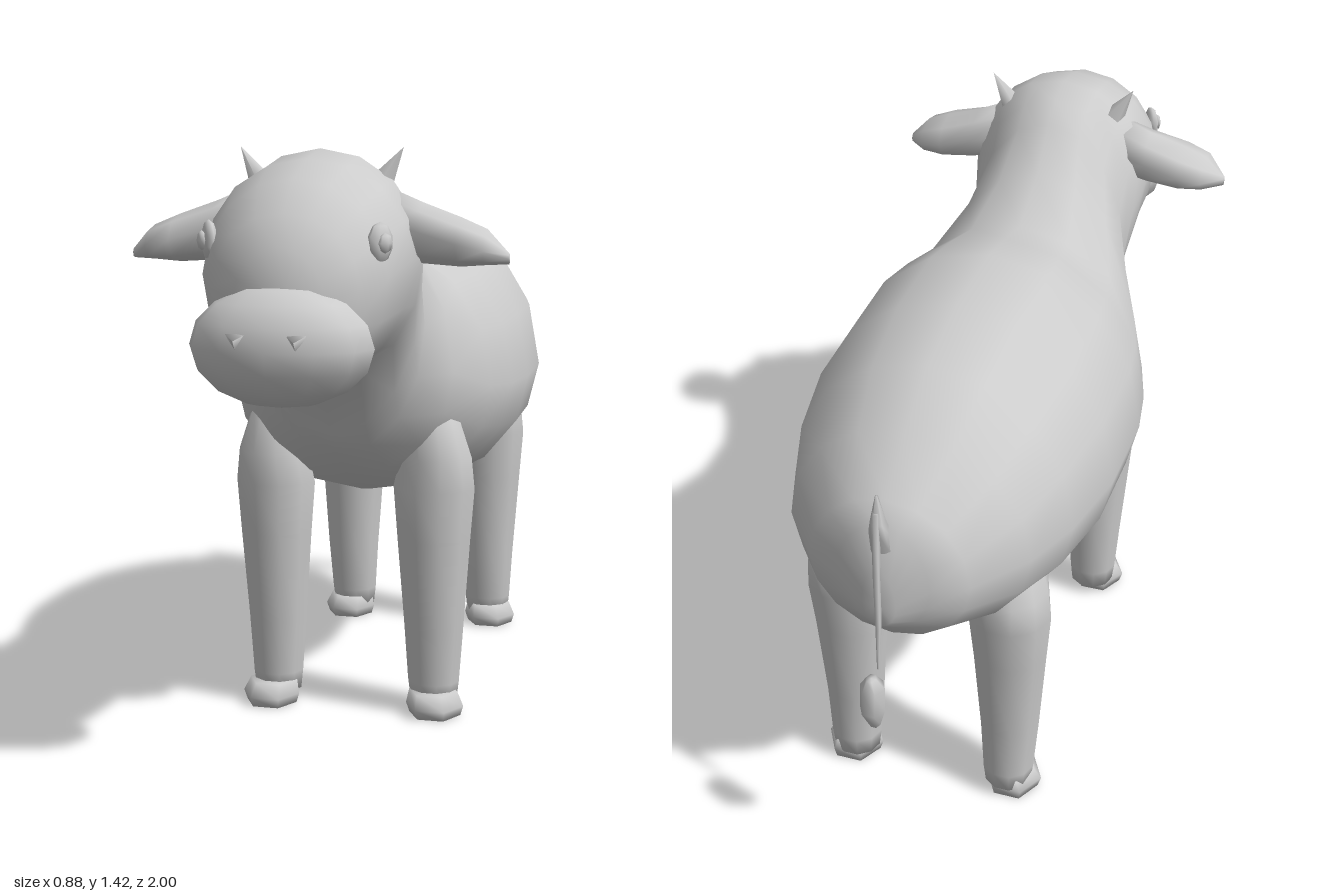
import * as THREE from 'three';

const hide = new THREE.MeshStandardMaterial({ color: 0xcccccc });
hide.name = 'pale grey';

// Skin over elliptical rings along +z: [z, centreX, centreY, halfWidth, up, down]
function loft(rings, n) {
  const pos = [], idx = [];
  for (const [z, cx, cy, w, up, down] of rings) {
    for (let j = 0; j < n; j++) {
      const a = (j / n) * Math.PI * 2, s = Math.sin(a);
      pos.push(cx + Math.cos(a) * w, cy + s * (s > 0 ? up : down), z);
    }
  }
  for (let i = 0; i < rings.length - 1; i++) {
    for (let j = 0; j < n; j++) {
      const k = (j + 1) % n, a = i * n + j, b = i * n + k;
      idx.push(a, b, a + n, b, b + n, a + n);
    }
  }
  // close both ends with a centre point
  [0, rings.length - 1].forEach((i, end) => {
    const c = pos.length / 3, r = rings[i];
    pos.push(r[1], r[2], r[0]);
    for (let j = 0; j < n; j++) {
      const a = i * n + j, b = i * n + (j + 1) % n;
      if (end) idx.push(a, b, c); else idx.push(b, a, c);
    }
  });
  const g = new THREE.BufferGeometry();
  g.setAttribute('position', new THREE.Float32BufferAttribute(pos, 3));
  g.setIndex(idx);
  g.computeVertexNormals();
  return g;
}

// Upright loft from [y, centreX, centreZ, halfX, halfZ]
const upright = (rings, n) =>
  loft(rings.map(([y, x, z, w, d]) => [y, x, -z, w, d, d]), n).rotateX(-Math.PI / 2);

export function createModel() {
  const model = new THREE.Group();
  model.name = 'calf';
  const add = (name, geometry, x = 0, y = 0, z = 0) => {
    const m = new THREE.Mesh(geometry, hide);
    m.name = name;
    m.position.set(x, y, z);
    model.add(m);
    return m;
  };
  const ball = (rx, ry, rz, w = 10, h = 7) => new THREE.SphereGeometry(1, w, h).scale(rx, ry, rz);

  // Body, neck and head as one skin: [z, top, widest height, bottom, half width]
  const trunk = [
    [-0.90, 0.90, 0.80, 0.74, 0.04],
    [-0.87, 1.00, 0.84, 0.71, 0.11],
    [-0.83, 1.04, 0.84, 0.66, 0.19],
    [-0.70, 1.13, 0.84, 0.59, 0.29],
    [-0.55, 1.21, 0.83, 0.54, 0.345],
    [-0.34, 1.245, 0.82, 0.51, 0.385],
    [-0.10, 1.245, 0.82, 0.505, 0.39],
    [0.03, 1.22, 0.82, 0.525, 0.37],
    [0.15, 1.19, 0.83, 0.55, 0.335],
    [0.30, 1.26, 0.88, 0.62, 0.265],
    [0.40, 1.36, 1.00, 0.69, 0.215],
    [0.46, 1.40, 1.10, 0.75, 0.22],
    [0.54, 1.42, 1.18, 0.89, 0.24],
    [0.65, 1.40, 1.18, 0.90, 0.238],
    [0.76, 1.36, 1.15, 0.90, 0.21],
    [0.84, 1.29, 1.13, 0.91, 0.165],
    [0.885, 1.22, 1.11, 0.96, 0.10],
    [0.90, 1.15, 1.10, 1.04, 0.04],
  ];
  add('body', loft(trunk.map(([z, t, m, b, w]) => [z, 0, m, w, t - m, m - b]), 16));

  // Rounded muzzle
  add('muzzle', ball(0.205, 0.132, 0.13, 12, 8), 0, 1.01, 0.87);

  // Udder
  add('udder', ball(0.14, 0.055, 0.10, 8, 6), 0, 0.515, -0.42);

  for (const s of [1, -1]) {
    const side = s > 0 ? 'left' : 'right';

    // Legs and hooves
    for (const [part, z, thick, slide] of [['Front', 0.23, 0.085, 0], ['Hind', -0.59, 0.098, 0.01]]) {
      add(side + part + 'Leg', upright([
        [0.03, s * 0.205, z - 0.01, 0.06, 0.058],
        [0.08, s * 0.205, z - 0.008, 0.066, 0.064],
        [0.22, s * 0.205, z - 0.008 + slide, 0.076, 0.07],
        [0.45, s * 0.205, z, 0.093, 0.08],
        [0.58, s * 0.205, z, 0.103, thick],
        [0.66, s * 0.21, z, 0.09, thick],
        [0.78, s * 0.2, z + slide * 3, 0.06, 0.06],
      ], 10));
      add(side + part + 'Hoof', upright([
        [0, s * 0.215, z + 0.022 - slide * 2, 0.066, 0.068],
        [0.025, s * 0.215, z + 0.025 - slide * 2, 0.074, 0.075],
        [0.06, s * 0.21, z + 0.018 - slide * 2, 0.062, 0.064],
      ], 6));
    }

    // Drooping ear
    const ear = [
      [0.15, 0.55, 1.26, 0.06, 0.08, 0.08],
      [0.24, 0.55, 1.24, 0.075, 0.062, 0.075],
      [0.33, 0.56, 1.215, 0.088, 0.055, 0.055],
      [0.39, 0.565, 1.20, 0.075, 0.045, 0.035],
      [0.44, 0.57, 1.18, 0.012, 0.012, 0.012],
    ].map(([x, z, ...r]) => [x, -s * z, ...r]);
    add(side + 'Ear', loft(ear, 8).rotateY(s * Math.PI / 2));

    // Horn
    const horn = add(side + 'Horn', new THREE.ConeGeometry(0.028, 0.09, 5), s * 0.168, 1.385, 0.53);
    horn.rotation.z = -s * 0.55;

    // Eye with a small pupil
    const eye = add(side + 'Eye', ball(0.018, 0.045, 0.036, 7, 5), s * 0.192, 1.225, 0.765);
    eye.rotation.y = -s * 0.55;
    const pupil = add(side + 'Pupil', ball(0.012, 0.022, 0.02, 6, 4), s * 0.205, 1.225, 0.775);
    pupil.rotation.y = -s * 0.55;

    // Nostril
    const nostril = add(side + 'Nostril', new THREE.ConeGeometry(0.026, 0.02, 3), s * 0.065, 1.035, 0.992);
    nostril.rotation.x = Math.PI / 2;

    // Teats
    for (const z of [-0.39, -0.485]) {
      add(side + 'Teat', new THREE.CylinderGeometry(0.01, 0.006, 0.06, 5), s * 0.053, 0.472, z);
    }
  }

  // Tail: pointed root, thin strand and hanging tuft
  add('tailRoot', upright([
    [0.94, 0, -0.865, 0.035, 0.03],
    [1.02, 0, -0.88, 0.018, 0.02],
    [1.09, 0, -0.88, 0.003, 0.004],
  ], 5));
  add('tailStrand', upright([
    [0.63, 0, -0.922, 0.003, 0.003],
    [0.74, 0, -0.909, 0.007, 0.01],
    [0.90, 0, -0.903, 0.009, 0.012],
    [1.05, 0, -0.888, 0.009, 0.012],
  ], 5));
  add('tailTuft', upright([
    [0.49, 0, -0.955, 0.012, 0.015],
    [0.55, 0, -0.968, 0.03, 0.031],
    [0.61, 0, -0.96, 0.03, 0.03],
    [0.64, 0, -0.965, 0.012, 0.015],
  ], 6));

  return model;
}
